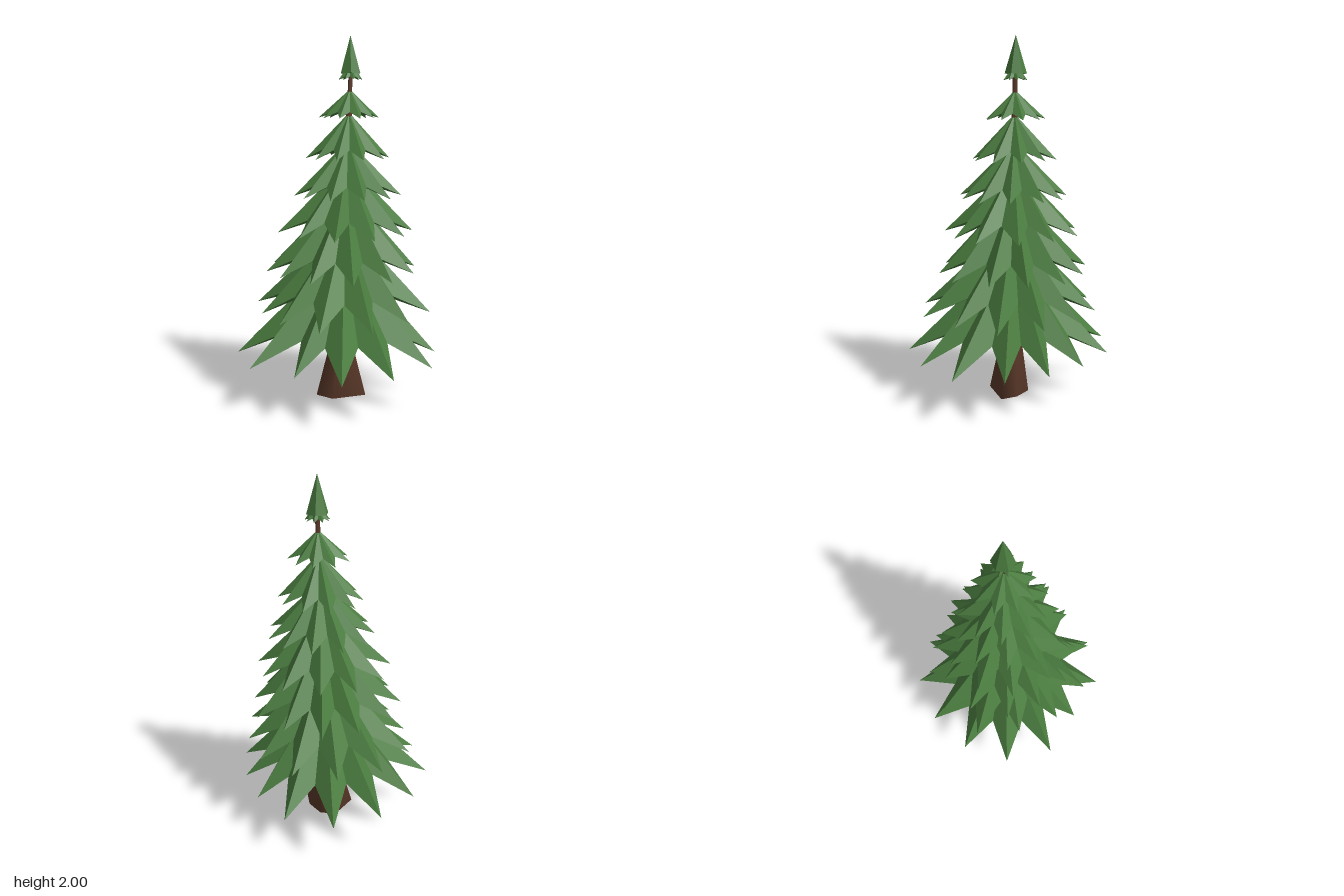
import * as THREE from 'three';
import { mergeVertices } from 'three/addons/utils/BufferGeometryUtils.js';

const green = new THREE.MeshStandardMaterial({ color: 0x4a7c3f, flatShading: true });
green.name = 'needleGreen';
const brown = new THREE.MeshStandardMaterial({ color: 0x5a3829 });
brown.name = 'barkBrown';

let seed = 7;
const jitter = (amount) => {
  seed = (seed * 16807) % 2147483647;
  return (seed / 2147483647 - 0.5) * 2 * amount;
};

// The stem bends slightly; this is its centre at a given height.
const stemX = (y) => (y < 0.4 ? 0.015 - 0.06 * y : -0.009 + 0.028 * (y - 0.4));
const stemZ = (y) => (y < 0.4 ? 0.025 - 0.05 * y : 0.005 - 0.026 * (y - 0.4));

// Star-shaped skirt: folded spikes running from an apex, closed underneath.
function starTier({ tipY, apexY, radii, start, notch, notchRise, under, spread = 0 }) {
  const n = radii.length, step = (Math.PI * 2) / n;
  const cx = stemX(tipY), cz = stemZ(tipY);
  const point = (a, r, y) => [cx + Math.cos(a) * r, y, cz + Math.sin(a) * r];
  const apex = [stemX(apexY), apexY, stemZ(apexY)];
  const base = [cx, tipY + under, cz];
  const rim = [];
  radii.forEach((r, i) => {
    const a = start + i * step;
    rim.push(point(a + jitter(spread), r, tipY + jitter(spread * 0.12)));
    rim.push(point(a + step / 2 + jitter(spread), r * notch, tipY + notchRise));
  });
  const tris = [];
  rim.forEach((p, i) => {
    const q = rim[(i + 1) % rim.length];
    tris.push(...apex, ...q, ...p, ...base, ...p, ...q);
  });
  const geo = new THREE.BufferGeometry();
  geo.setAttribute('position', new THREE.Float32BufferAttribute(tris, 3));
  geo.computeVertexNormals();
  return geo;
}

export function createModel() {
  const tree = new THREE.Group();
  const add = (name, geo, mat) => {
    const mesh = new THREE.Mesh(geo, mat);
    mesh.name = name;
    tree.add(mesh);
    return mesh;
  };

  // Trunk: tapered six-sided stem, bent along its centre line, with an uneven foot (x, z corners)
  const foot = [[0.145, 0], [0.075, -0.065], [-0.03, -0.09], [-0.11, -0.046], [-0.1, 0.13], [0.008, 0.138]];
  const profile = [[0, 0], [0.126, 0], [0.051, 0.36], [0.042, 0.7], [0.03, 1.2], [0.014, 1.68], [0.012, 1.82]];
  const lathe = new THREE.LatheGeometry(profile.map(([r, y]) => new THREE.Vector2(r, y)), 6, Math.PI / 2);
  const pos = lathe.attributes.position;
  for (let i = 0; i < pos.count; i++) {
    const y = pos.getY(i);
    const [fx, fz] = foot[Math.floor(i / profile.length) % 6];
    const isFoot = i % profile.length === 1;
    pos.setX(i, isFoot ? fx : pos.getX(i) + stemX(y));
    pos.setZ(i, isFoot ? fz : pos.getZ(i) + stemZ(y));
  }
  lathe.deleteAttribute('uv');
  lathe.deleteAttribute('normal');
  const trunk = mergeVertices(lathe, 1e-4);
  trunk.computeVertexNormals();
  add('trunk', trunk, brown);

  // Twigs: short thin shoots under the lowest branches
  for (let i = 0; i < 4; i++) {
    const geo = new THREE.CylinderGeometry(0.003, 0.006, 0.12, 5);
    geo.translate(0, 0.06, 0).rotateZ(-0.95).rotateY(i * Math.PI / 2);
    add('twig', geo, brown).position.set(stemX(0.34), 0.34, stemZ(0.34));
  }

  // Two lowest skirts of branches, with their own spike lengths
  add('branchTier', starTier({
    tipY: 0.26, apexY: 0.84, start: 0.11, notch: 0.63, notchRise: 0.12, under: 0.2,
    radii: [0.58, 0.565, 0.58, 0.52, 0.59, 0.59, 0.57, 0.565, 0.575, 0.555, 0.495, 0.485, 0.525],
  }), green);
  add('branchTier', starTier({
    tipY: 0.5, apexY: 1.0, start: 0.25, notch: 0.63, notchRise: 0.1, under: 0.15,
    radii: [0.48, 0.52, 0.51, 0.48, 0.46, 0.5, 0.495, 0.48, 0.47, 0.46, 0.455, 0.5],
  }), green);

  // Upper skirts: tip height, apex height, radius, spike count, start angle
  const tiers = [
    [0.722, 1.18, 0.42, 12, -0.1],
    [0.94, 1.32, 0.37, 11, 0.09],
    [1.14, 1.44, 0.295, 11, 0.2],
    [1.345, 1.59, 0.238, 10, 0.05],
    [1.56, 1.715, 0.163, 9, 0],
  ];
  for (const [tipY, apexY, r, n, start] of tiers) {
    const radii = Array.from({ length: n }, () => r * (1 + jitter(0.04)));
    add('branchTier', starTier({
      tipY, apexY, radii, start, notch: 0.63, notchRise: r * 0.2, under: r * 0.3, spread: 0.03,
    }), green);
  }

  // Crown: small ragged skirt below a pointed cone
  add('crownSkirt', starTier({
    tipY: 1.766, apexY: 1.86, radii: Array(9).fill(0.066), start: 0.1, notch: 0.65, notchRise: 0.015, under: 0.02,
  }), green);
  const crown = new THREE.ConeGeometry(0.06, 0.2, 6, 1, false, Math.PI / 2);
  add('crown', crown, green).position.set(stemX(1.9) - 0.005, 1.9, stemZ(1.9));

  return tree;
}
